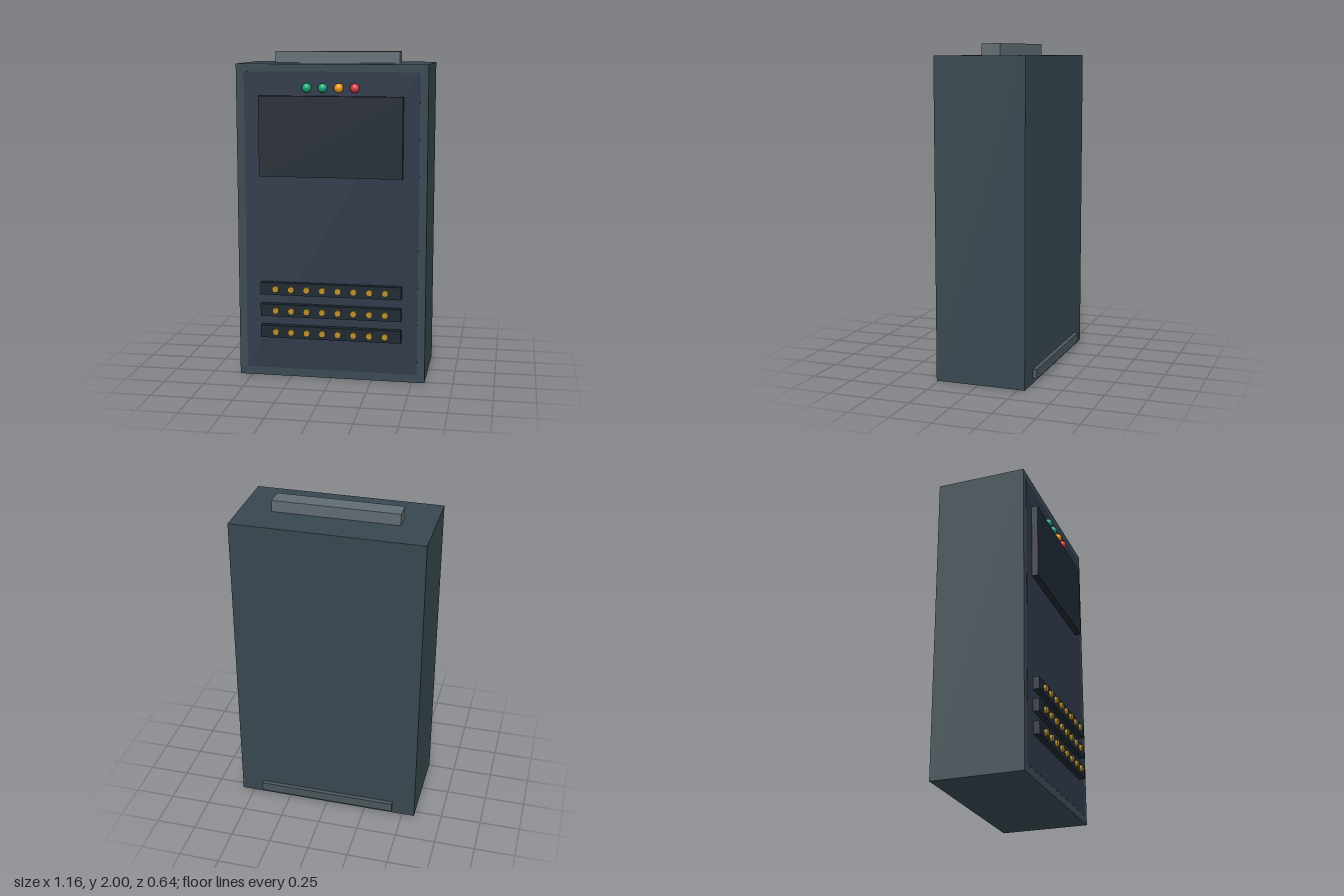
import * as THREE from 'three';

const mat = (color) => new THREE.MeshStandardMaterial({ color });

export function createModel() {
  const model = new THREE.Group();
  model.name = 'controlCabinet';

  const dark = mat(0x1c2630);
  const gold = mat(0xb8902a);
  const FRONT = 0.265;
  const BACK = -0.293;

  const add = (name, geometry, material, x, y, z) => {
    const mesh = new THREE.Mesh(geometry, material);
    mesh.name = name;
    mesh.position.set(x, y, z);
    model.add(mesh);
    return mesh;
  };

  // Box centred on x, given by its width and its y and z ranges
  const box = (name, material, w, y0, y1, z0, z1) =>
    add(name, new THREE.BoxGeometry(w, y1 - y0, z1 - z0), material, 0, (y0 + y1) / 2, (z0 + z1) / 2);

  // Cabinet body, front panel, top duct and rear rail
  box('cabinetBody', mat(0x37474f), 1.156, 0, 1.93, BACK, FRONT);
  box('frontPanel', mat(0x2d3748), 1.06, 0.05, 1.885, FRONT - 0.02, FRONT + 0.001);
  box('topDuct', mat(0x5f6b72), 0.77, 1.93, 2, -0.071, 0.043);
  box('rearRail', mat(0x4a555b), 0.868, 0.03, 0.087, -0.32, BACK);

  // Display
  box('displayScreen', dark, 0.868, 1.258, 1.742, FRONT, 0.304);

  // Status lights, half sunk into the panel
  const lightGeometry = new THREE.SphereGeometry(0.028, 20, 14);
  [0x10a878, 0x10a878, 0xf39c12, 0xd63a45].forEach((color, i) =>
    add('statusLight', lightGeometry, mat(color), (i - 1.5) * 0.0965, 1.79, 0.276));

  // Terminal strips with their rows of screws
  const screwGeometry = new THREE.CylinderGeometry(0.02, 0.02, 0.024, 12).rotateX(Math.PI / 2);
  for (const y of [0.564, 0.428, 0.293]) {
    box('terminalStrip', dark, 0.868, y - 0.0385, y + 0.0385, FRONT, 0.304);
    for (let i = 0; i < 8; i++) {
      add('terminalScrew', screwGeometry, gold, (i - 3.5) * 0.0965, y, 0.308);
    }
  }

  return model;
}
